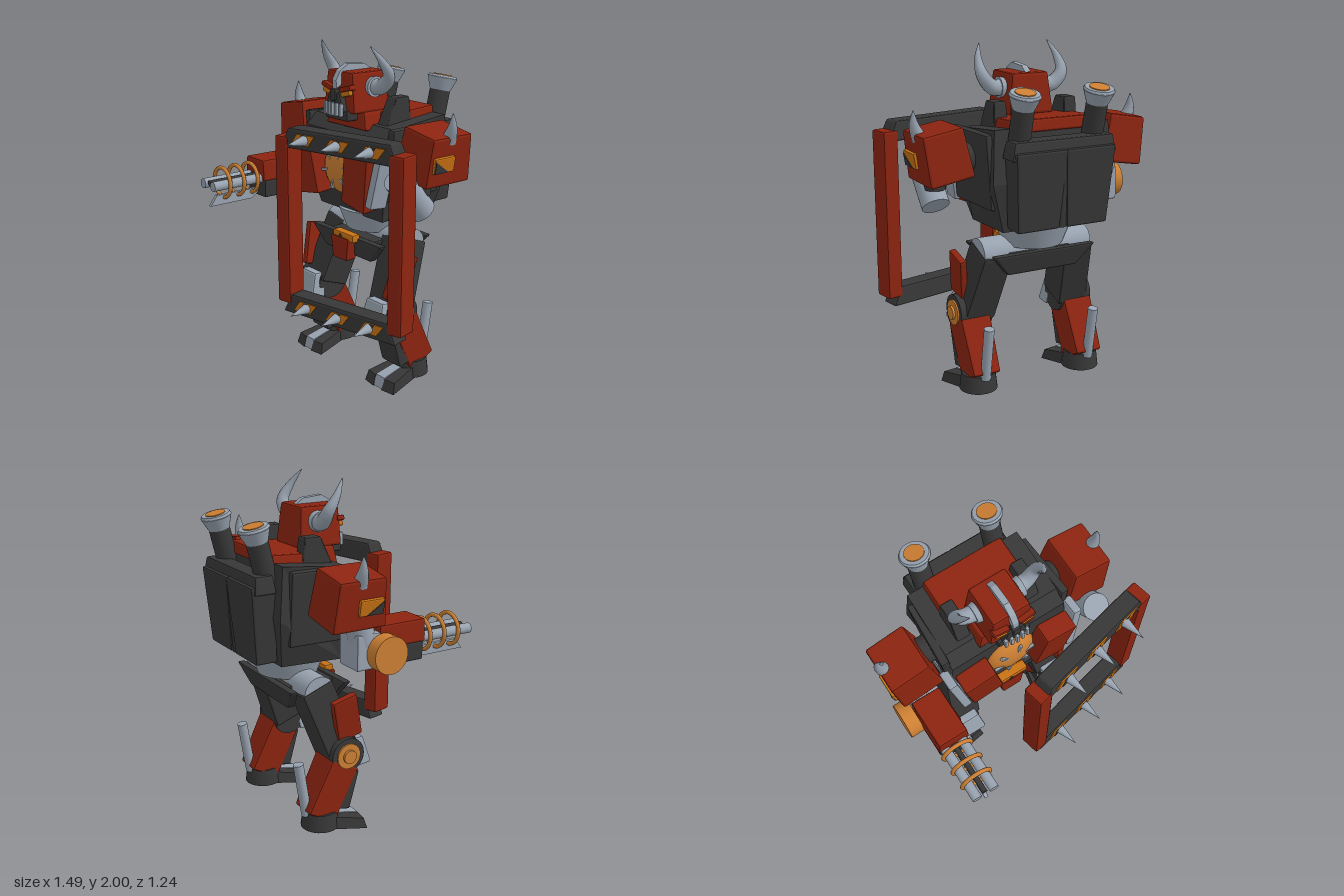
import * as THREE from 'three';
import { RoundedBoxGeometry } from 'three/addons/geometries/RoundedBoxGeometry.js';

const paint = (name, color) => Object.assign(new THREE.MeshStandardMaterial({ color }), { name });

// Bevelled box; the top is scaled by tx, tz and shifted by sz
function block(w, h, d, tx = 1, tz = 1, sz = 0, r = 0.012) {
  const g = new RoundedBoxGeometry(w, h, d, 1, Math.min(r, w * 0.3, h * 0.3, d * 0.3));
  const p = g.attributes.position;
  for (let i = 0; i < p.count; i++) {
    const t = p.getY(i) / h + 0.5;
    p.setX(i, p.getX(i) * (1 + (tx - 1) * t));
    p.setZ(i, p.getZ(i) * (1 + (tz - 1) * t) + sz * t);
  }
  g.computeVertexNormals();
  return g;
}

// Side outline of [z, y] points given a width along x; widthAt(y) scales the width
function sidePrism(points, width, widthAt = () => 1) {
  const shape = new THREE.Shape(points.map(([z, y]) => new THREE.Vector2(z, y)));
  const g = new THREE.ExtrudeGeometry(shape, { depth: width, bevelEnabled: false });
  g.translate(0, 0, -width / 2).rotateY(-Math.PI / 2);
  const p = g.attributes.position;
  for (let i = 0; i < p.count; i++) p.setX(i, p.getX(i) * widthAt(p.getY(i)));
  g.computeVertexNormals();
  return g;
}

// Flat plate from [x, y] points facing +z
function plate(points, depth = 0.008) {
  const shape = new THREE.Shape(points.map(([x, y]) => new THREE.Vector2(x, y)));
  return new THREE.ExtrudeGeometry(shape, { depth, bevelEnabled: false });
}

// Tube that tapers to a point
function taperTube(points, r) {
  const curve = new THREE.CatmullRomCurve3(points.map(p => new THREE.Vector3(...p)));
  const n = 18, m = 12;
  const g = new THREE.TubeGeometry(curve, n, r, m), p = g.attributes.position;
  const v = new THREE.Vector3();
  for (let i = 0; i < p.count; i++) {
    const t = Math.floor(i / (m + 1)) / n, c = curve.getPointAt(t);
    v.fromBufferAttribute(p, i).sub(c).multiplyScalar(1 - 0.96 * t * t * 0.6 - 0.38 * t).add(c);
    p.setXYZ(i, v.x, v.y, v.z);
  }
  return g;
}

const cyl = (r1, r2, h, n = 28) => new THREE.CylinderGeometry(r1, r2, h, n);

function add(parent, name, geo, mat, pos = [0, 0, 0], rot = [0, 0, 0]) {
  const m = new THREE.Mesh(geo, mat);
  m.name = name;
  m.position.set(...pos);
  m.rotation.set(...rot);
  parent.add(m);
  return m;
}

function group(parent, name, x = 0, y = 0, z = 0) {
  const g = new THREE.Group();
  g.name = name;
  g.position.set(x, y, z);
  parent.add(g);
  return g;
}

export function createModel() {
  const red = paint('red armour', 0x8c2410), dark = paint('dark iron', 0x373737);
  const steel = paint('steel', 0x98a3b0), bronze = paint('bronze', 0xcc7f33);
  const orange = paint('orange emblem', 0xc87214);
  const H = Math.PI / 2;
  const model = new THREE.Group();
  model.name = 'hornedRobot';
  const body = group(model, 'body', -0.026);

  // Torso
  const torso = group(body, 'torso');
  const hull = [[-0.03, 1], [0.03, 1.3], [0.02, 1.48], [-0.05, 1.55], [-0.44, 1.59], [-0.47, 1.3], [-0.42, 1.02]];
  const hullWidth = y => y < 1.3 ? 0.76 + (y - 1) * 0.8 : 1 - (y - 1.3) * 0.2;
  add(torso, 'hull', sidePrism(hull, 0.75, hullWidth), dark);
  add(torso, 'topDeck', block(0.52, 0.07, 0.34, 0.95, 0.97), red, [0, 1.588, -0.285], [0.06, 0, 0]);
  add(torso, 'collar', block(0.36, 0.1, 0.22, 0.85, 0.9), red, [0, 1.57, -0.1]);
  add(torso, 'waist', cyl(0.225, 0.175, 0.13), steel, [0, 0.95, -0.22]);
  const core = add(torso, 'chestCore', new THREE.SphereGeometry(0.155, 28, 16), bronze, [0, 1.28, 0.02]);
  core.scale.z = 0.5;
  for (let i = 0; i < 6; i++) {
    const a = i * Math.PI / 3 + 0.2;
    add(torso, 'coreTick', block(0.065, 0.018, 0.02), steel,
      [Math.cos(a) * 0.1, 1.28 + Math.sin(a) * 0.1, 0.08], [0, 0, a]);
  }
  for (const s of [-1, 1]) {
    add(torso, 'chestPlate', block(0.2, 0.34, 0.12), red, [s * 0.235, 1.27, 0.085], [0.08, 0, -s * 0.17]);
    add(torso, 'chestPlateEdge', block(0.055, 0.34, 0.12), steel, [s * 0.375, 1.29, 0.06], [-0.1, 0, -s * 0.17]);
    add(torso, 'neckGuard', block(0.085, 0.17, 0.2, 0.9, 0.5, -0.03), dark, [s * 0.22, 1.62, -0.17]);
    add(torso, 'backPanel', block(0.255, 0.44, 0.13, 1.22, 1.1, -0.03), dark, [s * 0.15, 1.265, -0.5]);
    add(torso, 'sideRib', block(0.05, 0.42, 0.4, 1, 1), dark, [s * 0.355, 1.35, -0.2], [0, s * 0.06, -s * 0.08]);
    // Exhaust stack
    const stack = group(torso, 'exhaustStack', s * 0.226, 1.56, -0.485);
    stack.rotation.x = -0.24;
    add(stack, 'pipe', cyl(0.06, 0.06, 0.44), dark, [0, -0.05, 0]);
    add(stack, 'funnel', cyl(0.088, 0.058, 0.08), steel, [0, 0.185, 0]);
    add(stack, 'rim', cyl(0.08, 0.088, 0.015), steel, [0, 0.23, 0]);
    add(stack, 'glow', cyl(0.056, 0.056, 0.008), bronze, [0, 0.239, 0]);
  }
  add(torso, 'spine', cyl(0.035, 0.03, 0.42, 16), dark, [0, 1.26, -0.545], [-0.06, 0, 0]);
  add(torso, 'backTop', block(0.64, 0.1, 0.13, 0.94, 0.8), dark, [0, 1.49, -0.52]);

  // Head
  const head = group(body, 'head');
  add(head, 'helmet', block(0.28, 0.23, 0.27, 0.8, 0.9, 0.005, 0.015), red, [0, 1.73, -0.075]);
  add(head, 'jaw', block(0.2, 0.06, 0.2), dark, [0, 1.6, -0.02]);
  add(head, 'mask', block(0.16, 0.11, 0.08, 0.6), dark, [0, 1.675, 0.055]);
  add(head, 'noseGuard', block(0.05, 0.07, 0.05), dark, [0, 1.715, 0.08]);
  for (let i = -2; i <= 2; i++)
    add(head, 'tooth', block(0.02, 0.075, 0.025), steel, [i * 0.033, 1.635, 0.105 - Math.abs(i) * 0.004]);
  add(head, 'crest', sidePrism([[0.09, 1.75], [0.09, 1.8], [0.06, 1.85], [0, 1.885], [-0.12, 1.875], [-0.17, 1.84], [0, 1.83], [0.05, 1.77]], 0.036), steel);
  for (const s of [-1, 1]) {
    add(head, 'eye', block(0.09, 0.03, 0.035), orange, [s * 0.075, 1.725, 0.065], [0, 0, s * 0.25]);
    add(head, 'brow', block(0.1, 0.03, 0.05), red, [s * 0.08, 1.755, 0.06], [0, 0, s * 0.25]);
    add(head, 'horn', taperTube([[s * 0.11, 1.76, -0.09], [s * 0.19, 1.765, -0.1], [s * 0.25, 1.83, -0.1],
      [s * 0.252, 1.91, -0.05], [s * 0.218, 2, 0.01]], 0.05), steel);
    add(head, 'hornSocket', cyl(0.055, 0.06, 0.03, 16), steel, [s * 0.135, 1.76, -0.09], [0, 0, H]);
  }

  // Shoulders
  for (const s of [-1, 1]) {
    const shoulder = group(body, 'shoulder', s * 0.56, 1.44, -0.165);
    shoulder.rotation.z = -s * 0.17;
    add(shoulder, 'pauldron', block(0.265, 0.28, 0.33, 0.9, 0.86, 0, 0.015), red);
    add(shoulder, 'spike', taperTube([[s * 0.085, 0.1, 0], [s * 0.1, 0.18, 0], [s * 0.09, 0.26, 0]], 0.042), steel);
    add(shoulder, 'emblemBack', block(0.025, 0.09, 0.15), orange, [s * 0.13, -0.01, 0.055]);
    const mark = plate([[-0.07, -0.04], [0.03, -0.04], [-0.07, 0.03]], 0.006);
    add(shoulder, 'emblemMark', mark, dark, [s * 0.143 - 0.003, -0.01, 0.055], [0, H, 0]);
    add(body, 'shoulderJoint', cyl(0.08, 0.08, 0.2), dark, [s * 0.42, 1.41, -0.19], [0, 0, H]);
  }

  // Left arm stub
  add(body, 'leftUpperArm', cyl(0.08, 0.08, 0.28), steel, [0.542, 1.23, 0], [0.72, 0, 0]);
  add(body, 'leftShoulderLink', cyl(0.06, 0.06, 0.16), dark, [0.54, 1.3, -0.08]);

  // Right arm with rotary gun
  const arm = group(body, 'gunArm', -0.535, 1.16, 0);
  add(arm, 'upperArm', cyl(0.075, 0.075, 0.22), steel, [-0.02, 0.12, -0.1], [-0.25, 0, 0]);
  add(arm, 'elbow', block(0.18, 0.2, 0.18), steel, [0, -0.02, -0.06]);
  add(arm, 'forearmTop', block(0.195, 0.13, 0.3, 0.92), red, [0, 0.05, 0.14]);
  add(arm, 'forearmBottom', block(0.18, 0.11, 0.29, 1.05), dark, [0, -0.065, 0.135]);
  add(arm, 'drum', cyl(0.105, 0.105, 0.08), bronze, [-0.135, -0.03, 0.01], [0, 0, H]);
  for (let i = 0; i < 3; i++)
    add(arm, 'barrelRing', new THREE.TorusGeometry(0.09, 0.012, 10, 32), bronze, [-0.005, 0, 0.325 + i * 0.097]);
  for (const s of [-1, 1])
    add(arm, 'barrel', cyl(0.029, 0.029, 0.36, 20), steel, [s * 0.054 - 0.005, 0, 0.44], [H, 0, 0]);
  add(arm, 'innerBarrel', cyl(0.016, 0.016, 0.34, 16), dark, [-0.005, 0.01, 0.44], [H, 0, 0]);
  add(arm, 'bayonet', sidePrism([[0.28, -0.07], [0.28, -0.1], [0.33, -0.13], [0.615, -0.13], [0.57, -0.07]], 0.022), steel);

  // Pelvis
  const pelvis = group(body, 'pelvis');
  add(pelvis, 'hipAxle', cyl(0.095, 0.095, 0.69), steel, [0, 0.845, -0.21], [0, 0, H]);
  add(pelvis, 'pelvisCore', block(0.34, 0.1, 0.3, 1.2), dark, [0, 0.81, -0.18]);
  add(pelvis, 'frontSkirt', block(0.42, 0.125, 0.05, 1.55, 1, 0.02), dark, [0, 0.805, -0.03]);
  add(pelvis, 'backSkirt', block(0.44, 0.13, 0.05, 1.5, 1, -0.04), dark, [0, 0.805, -0.32]);
  add(pelvis, 'codpiece', block(0.13, 0.14, 0.08, 1.3), red, [0, 0.79, 0.02]);
  add(pelvis, 'beltEmblem', block(0.19, 0.05, 0.06), orange, [0.02, 0.867, 0.02]);
  add(pelvis, 'beltMark', plate([[-0.07, -0.025], [-0.01, -0.025], [-0.04, 0.015]], 0.008), dark, [0.04, 0.867, 0.047]);

  // Legs
  for (const s of [-1, 1]) {
    const leg = group(body, s > 0 ? 'leftLeg' : 'rightLeg');
    add(leg, 'thigh', block(0.19, 0.42, 0.2, 0.95), dark, [s * 0.287, 0.67, -0.15], [-0.35, 0, s * 0.12]);
    add(leg, 'thighPlate', block(0.045, 0.27, 0.16), red, [s * 0.4, 0.69, -0.07], [-0.24, 0, -s * 0.13]);
    add(leg, 'kneeJoint', cyl(0.105, 0.105, 0.2), dark, [s * 0.335, 0.47, -0.075], [0, 0, H]);
    add(leg, 'kneeDisc', cyl(0.075, 0.075, 0.03), bronze, [s * 0.43, 0.47, -0.075], [0, 0, H]);
    add(leg, 'kneeHub', cyl(0.04, 0.04, 0.03), bronze, [s * 0.445, 0.47, -0.075], [0, 0, H]);
    add(leg, 'kneeCap', block(0.19, 0.17, 0.1, 0.75, 0.8, -0.02), steel, [s * 0.32, 0.465, 0.04], [-0.1, 0, 0]);
    add(leg, 'shin', block(0.17, 0.34, 0.19, 1.12, 1), red, [s * 0.343, 0.27, -0.165], [0.46, 0, 0]);
    add(leg, 'shinFront', block(0.165, 0.24, 0.09, 1, 1.3), dark, [s * 0.346, 0.255, -0.075], [0.22, 0, 0]);
    add(leg, 'piston', cyl(0.03, 0.03, 0.33, 18), steel, [s * 0.345, 0.285, -0.325], [-0.16, 0, 0]);
    const foot = group(leg, 'foot', s * 0.347);
    add(foot, 'heel', cyl(0.1, 0.112, 0.1, 20), dark, [0, 0.088, -0.21]);
    const toe = [[0.045, 0], [0.025, 0.065], [-0.18, 0.11], [-0.2, 0.04]];
    add(foot, 'middleToe', sidePrism(toe, 0.085, y => 1.1 - y * 4), steel, [0, 0.005, 0]);
    for (const t of [-1, 1])
      add(foot, 'sideToe', sidePrism(toe.map(([z, y]) => [z + 0.2, y]), 0.085, y => 1.1 - y * 3), dark,
        [t * 0.045, 0, -0.2], [0, t * 0.15, 0]);
  }

  // Frame shield
  const shield = group(model, 'shield', 0.308, 0, 0.295);
  shield.rotation.y = 0.223;
  for (const s of [-1, 1])
    add(shield, 'upright', block(0.095, 0.99, 0.125), red, [s * 0.39, 1.025, 0]);
  for (const y of [0.532, 1.515]) {
    const bar = group(shield, 'crossbar', 0, y, 0);
    add(bar, 'beam', block(0.8, 0.115, 0.12, 0.86, 0.88), dark);
    for (let i = -1; i <= 1; i++) {
      add(bar, 'stripe', plate([[-0.09, -0.03], [0.03, -0.03], [0.075, 0.03], [-0.05, 0.03]]), orange,
        [i * 0.235 + 0.01, 0, 0.055], [-0.06, 0, 0]);
      add(bar, 'stripeGap', plate([[-0.03, -0.03], [0, -0.03], [0.035, 0.03], [0.005, 0.03]], 0.004), dark,
        [i * 0.235 - 0.01, 0, 0.0625], [-0.06, 0, 0]);
      add(bar, 'spike', new THREE.ConeGeometry(0.032, 0.15, 16), steel, [i * 0.222, 0, 0.125], [H, 0, 0]);
    }
  }
  return model;
}
